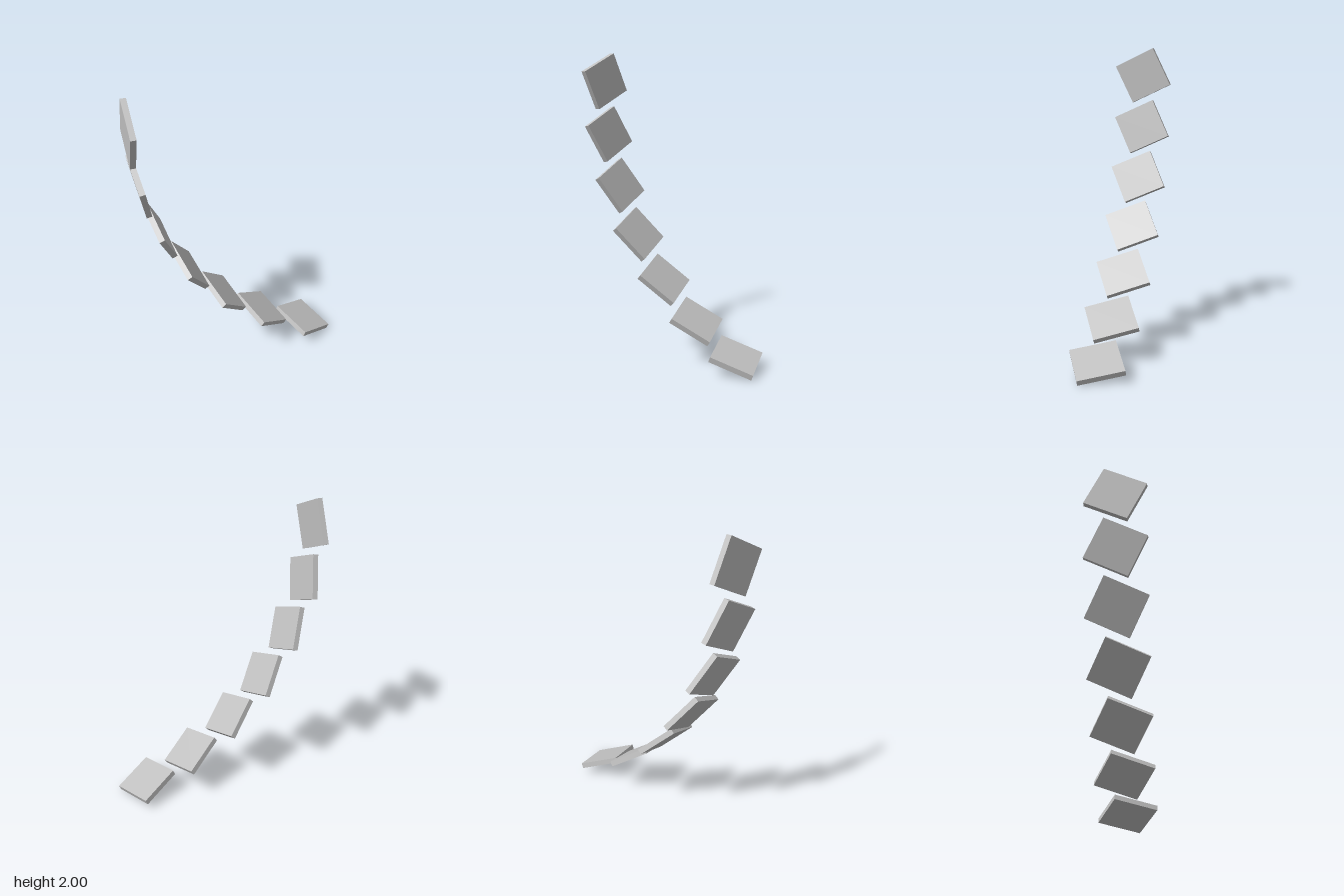
import * as THREE from 'three';

const COUNT = 7;        // plates along the arc
const RADIUS = 1.86;    // arc radius
const STEP = THREE.MathUtils.degToRad(11.25);
const TOP = { x: -0.659, y: 1.8095 }; // centre of the upright first plate
const THICKNESS = 0.036;

// Thin, twisted square slab lying in the YZ plane
function plateGeometry() {
  const shape = new THREE.Shape([
    [0.198, 0.0635], [-0.072, 0.1905], [-0.198, -0.0635], [0.072, -0.1905],
  ].map(([z, y]) => new THREE.Vector2(z, y)));
  const geometry = new THREE.ExtrudeGeometry(shape, { depth: THICKNESS, bevelEnabled: false });
  geometry.translate(0, 0, -THICKNESS / 2);
  geometry.rotateY(-Math.PI / 2);
  return geometry;
}

export function createModel() {
  const model = new THREE.Group();
  model.name = 'curvedPlateChain';
  const grey = new THREE.MeshStandardMaterial({ color: 0xc0c0c0 });
  grey.name = 'lightGrey';
  const geometry = plateGeometry();

  // Plates follow the arc from upright down to nearly flat
  for (let i = 0; i < COUNT; i++) {
    const angle = i * STEP;
    const plate = new THREE.Mesh(geometry, grey);
    plate.name = `plate${i + 1}`;
    plate.position.set(
      TOP.x + RADIUS * (1 - Math.cos(angle)),
      TOP.y - RADIUS * Math.sin(angle),
      0,
    );
    plate.rotation.z = angle;
    model.add(plate);
  }
  return model;
}
